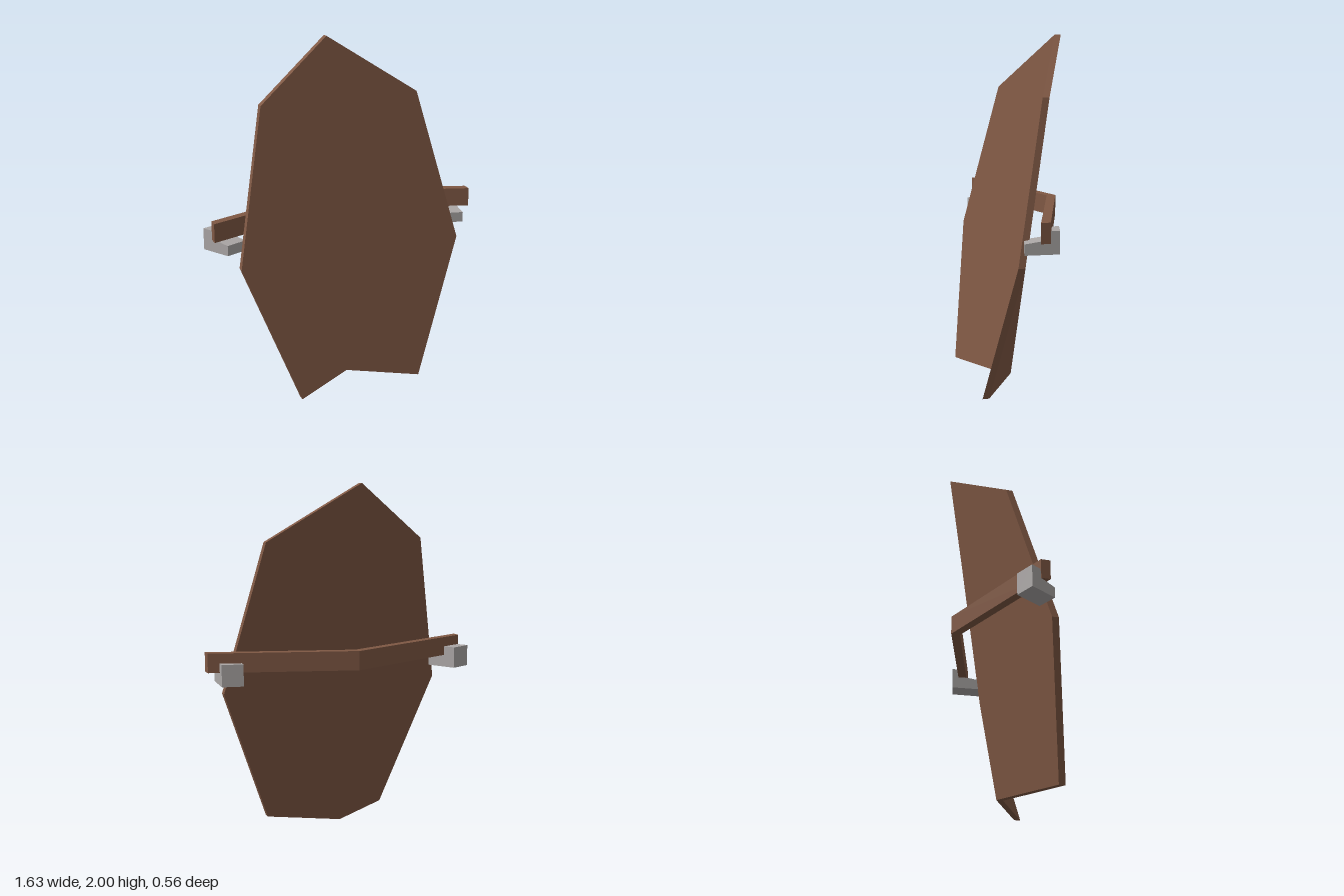
import * as THREE from 'three';

const brown = new THREE.MeshStandardMaterial({ color: 0x7f5844 });
brown.name = 'brownWood';
const grey = new THREE.MeshStandardMaterial({ color: 0xaba7a6 });
grey.name = 'greyMetal';

const MID = 0.013; // centre line of the panel and bar

function mesh(name, geometry, material) {
  const m = new THREE.Mesh(geometry, material);
  m.name = name;
  return m;
}

// Folded eight-sided panel: one shading normal per broad face, flat rim
function panelGeometry() {
  const outline = [
    [0, 2, -0.24], [-0.48, 1.68, -0.03], [-0.678, 0.81, 0.155], [-0.377, 0, 0.28],
    [0, 0, 0.057], [0.377, 0, 0.28], [0.678, 0.81, 0.155], [0.48, 1.68, -0.03],
  ];
  const front = outline.map(([x, y, z]) => new THREE.Vector3(x + MID, y, z));
  const back = front.map((p) => p.clone().setZ(p.z - 0.038));
  const faces = [[0, 1, 7], [1, 2, 7], [2, 4, 7], [2, 3, 4], [4, 6, 7], [4, 5, 6]];
  const broad = new THREE.Vector3(0, 0.17, 1).normalize();
  const positions = [], normals = [];
  const tri = (a, b, c, normal) => {
    const n = normal ?? b.clone().sub(a).cross(c.clone().sub(a)).normalize();
    for (const p of [a, b, c]) {
      positions.push(p.x, p.y, p.z);
      normals.push(n.x, n.y, n.z);
    }
  };
  for (const [a, b, c] of faces) {
    tri(front[a], front[b], front[c], broad);
    tri(back[a], back[c], back[b], broad.clone().negate());
  }
  for (let i = 0; i < 8; i++) {
    const j = (i + 1) % 8;
    tri(front[i], back[i], back[j]);
    tri(front[i], back[j], front[j]);
  }
  const g = new THREE.BufferGeometry();
  g.setAttribute('position', new THREE.Float32BufferAttribute(positions, 3));
  g.setAttribute('normal', new THREE.Float32BufferAttribute(normals, 3));
  return g;
}

// V-shaped bar, drawn in plan (x, -z) and raised in y
function barGeometry() {
  const plan = [[-0.8, -0.018], [-0.8, -0.07], [0, 0.2], [0.8, -0.07], [0.8, -0.018], [0, 0.253]];
  const shape = new THREE.Shape(plan.map(([x, y]) => new THREE.Vector2(x + MID, y)));
  const g = new THREE.ExtrudeGeometry(shape, { depth: 0.11, bevelEnabled: false });
  return g.rotateX(-Math.PI / 2).translate(0, 0.962, 0);
}

// Stepped clamp: side profile stretched between four plan corners [x, z]
function clampGeometry(backLeft, backRight, frontLeft, frontRight) {
  const profile = [[0, 0.89], [1, 0.89], [1, 0.95], [0.4, 0.965], [0.4, 1.015], [0, 1.015]];
  const shape = new THREE.Shape(profile.map(([s, y]) => new THREE.Vector2(s, y)));
  const g = new THREE.ExtrudeGeometry(shape, { depth: 1, bevelEnabled: false });
  const pos = g.attributes.position;
  const lerp = THREE.MathUtils.lerp;
  for (let i = 0; i < pos.count; i++) {
    const s = pos.getX(i), t = pos.getZ(i);
    const [x, z] = [0, 1].map((k) =>
      lerp(lerp(backRight[k], backLeft[k], t), lerp(frontRight[k], frontLeft[k], t), s));
    pos.setXYZ(i, x, pos.getY(i), z);
  }
  g.computeVertexNormals();
  return g;
}

export function createModel() {
  const group = new THREE.Group();
  group.name = 'shield';
  group.add(
    mesh('shieldPanel', panelGeometry(), brown),
    mesh('handleBar', barGeometry(), brown),
    mesh('rightClamp', clampGeometry([-0.818, -0.042], [-0.7, -0.085], [-0.727, 0.113], [-0.61, 0.068]), grey),
    mesh('leftClamp', clampGeometry([0.638, -0.08], [0.755, -0.05], [0.62, 0.107], [0.74, 0.135]), grey),
  );
  return group;
}
